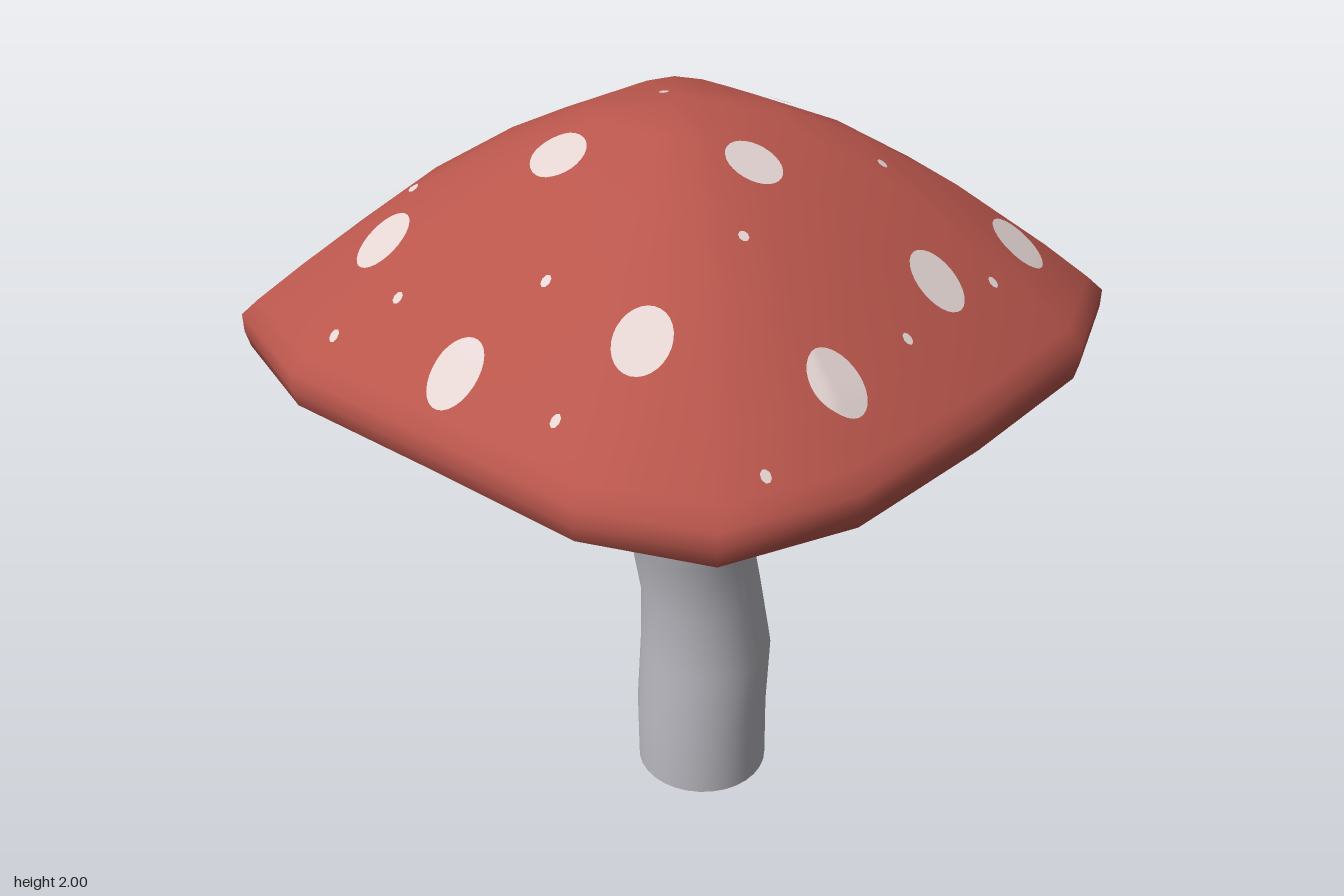
import * as THREE from 'three';
import { mergeVertices } from 'three/addons/utils/BufferGeometryUtils.js';

// Rim of the cap seen from above, as [x, z]
const RIM = [
  [0.34, -0.91], [0.66, -0.82], [0.81, -0.53], [0.87, -0.1], [0.9, 0.32], [0.81, 0.63], [0.55, 0.78], [0.1, 0.84],
  [-0.31, 0.9], [-0.65, 0.83], [-0.81, 0.53], [-0.87, 0.1], [-0.9, -0.33], [-0.81, -0.67], [-0.51, -0.83], [-0.08, -0.88],
];
// Cap profile from rim to crown, as [fraction of rim, height]
const DOME = [[1, 1.485], [0.96, 1.522], [0.85, 1.61], [0.63, 1.77], [0.42, 1.89], [0.21, 1.975], [0, 2]];
const LIP = [[0.965, 1.385], [0.99, 1.4], [1, 1.44]];

const LARGE_SPOTS = [
  [-0.71, -0.565], [-0.36, -0.605], [0.22, -0.66], [0.57, -0.57], [-0.65, -0.165], [0.04, -0.26], [0.63, -0.2],
  [-0.3, -0.04], [0.29, 0.04], [0.735, 0.23], [-0.055, 0.31], [-0.625, 0.39], [0.455, 0.51], [-0.325, 0.615], [0.11, 0.735],
];
const SMALL_SPOTS = [
  [-0.42, -0.76], [-0.12, -0.765], [0.225, -0.815], [-0.035, -0.64], [0.39, -0.645], [-0.47, -0.445], [-0.65, -0.39],
  [-0.31, -0.35], [0.36, -0.305], [0.66, -0.365], [-0.775, -0.26], [-0.05, 0], [0.71, -0.015], [-0.74, 0.045],
  [-0.47, 0.175], [0.43, 0.205], [-0.74, 0.465], [-0.375, 0.49], [0.17, 0.53], [0.79, 0.485], [-0.63, 0.7],
  [-0.155, 0.695], [0.405, 0.7], [-0.25, 0.81],
];

// Skin over closed rings of [x, y, z] points, with smooth normals
function loft(rings) {
  const n = rings[0].length;
  const index = [];
  for (let i = 0; i < rings.length - 1; i++) {
    for (let j = 0; j < n; j++) {
      const a = i * n + j, b = i * n + (j + 1) % n;
      index.push(a, a + n, b, b, a + n, b + n);
    }
  }
  const geometry = new THREE.BufferGeometry();
  geometry.setAttribute('position', new THREE.Float32BufferAttribute(rings.flat(2), 3));
  geometry.setIndex(index);
  const merged = mergeVertices(geometry, 1e-5);
  merged.computeVertexNormals();
  return merged;
}

const rimRing = ([t, y]) => RIM.map(([x, z]) => [x * t, y, z * t]);

const ellipse = (y, cx, cz, rx, rz, n) => Array.from({ length: n }, (_, i) => {
  const a = (i / n) * Math.PI * 2;
  return [cx + rx * Math.cos(a), y, cz + rz * Math.sin(a)];
});

// Height of the dome above a point
function domeHeight(x, z) {
  let t = 0;
  RIM.forEach(([ax, az], i) => {
    const [bx, bz] = RIM[(i + 1) % RIM.length];
    const d = ax * bz - az * bx;
    const u = (x * bz - z * bx) / d, v = (ax * z - az * x) / d;
    if (u >= -1e-6 && v >= -1e-6) t = Math.min(1, u + v);
  });
  const k = Math.max(1, DOME.findIndex(([s]) => s <= t));
  const [t0, y0] = DOME[k - 1], [t1, y1] = DOME[k];
  return y0 + (y1 - y0) * (t - t0) / (t1 - t0);
}

// Thin disc draped over the dome
function spot(cx, cz, r, n, lift) {
  return loft([1, 0.75, 0.5, 0.25, 0].map((s) =>
    ellipse(0, cx, cz, r * s, r * s, n).map(([x, , z]) => [x, domeHeight(x, z) + lift, z])));
}

export function createModel() {
  const group = new THREE.Group();
  const material = (name, color) => {
    const m = new THREE.MeshStandardMaterial({ color });
    m.name = name;
    return m;
  };
  const red = material('cap red', 0xb9564c);
  const grey = material('stem grey', 0xb9b8bf);
  const white = material('spot white', 0xe4d5d3);
  const add = (name, geometry, mat, parent = group) => {
    const mesh = new THREE.Mesh(geometry, mat);
    mesh.name = name;
    parent.add(mesh);
  };

  // Cap: dome with rounded lip, and flat underside
  add('cap', loft([...LIP, ...DOME].map(rimRing)), red);
  add('capUnderside', loft([[0, 1.39], [0.5, 1.39], [0.965, 1.385]].map(rimRing)), red);

  // Crooked stem: height, centre x, centre z, radius x, radius z
  const stem = [
    [0, 0.01, -0.083, 0.185, 0.184], [0.2, 0.01, -0.08, 0.184, 0.185], [0.4, 0.008, -0.095, 0.182, 0.185],
    [0.6, 0.01, -0.075, 0.165, 0.167], [0.78, 0.01, -0.038, 0.165, 0.163], [0.98, 0.014, 0.002, 0.183, 0.182],
    [1.18, 0.012, -0.01, 0.174, 0.175], [1.42, 0.012, 0.008, 0.152, 0.156],
  ].map((s) => ellipse(...s, 32));
  add('stem', loft(stem), grey);
  add('stemBase', loft([ellipse(0, 0.01, -0.083, 0, 0, 32), stem[0]]), grey);

  // Spots
  const spots = new THREE.Group();
  spots.name = 'spots';
  group.add(spots);
  LARGE_SPOTS.forEach(([x, z]) => add('largeSpot', spot(x, z, 0.064, 28, 0.006), white, spots));
  SMALL_SPOTS.forEach(([x, z]) => add('smallSpot', spot(x, z, 0.012, 8, 0.005), white, spots));
  return group;
}
